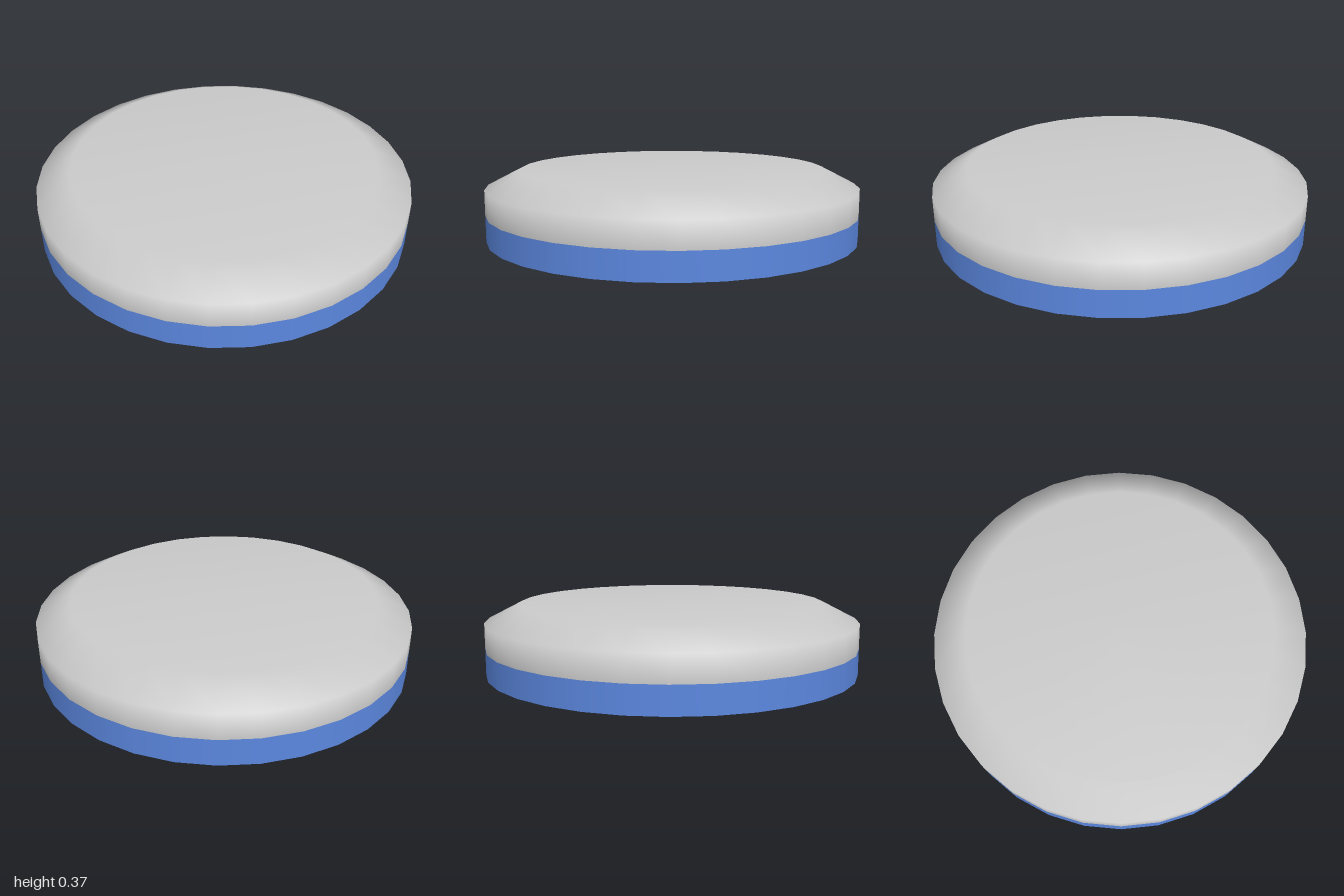
import * as THREE from 'three';

const SIDES = 32;
const FLOOR = 0.1;

export function createModel() {
  const model = new THREE.Group();
  const grey = new THREE.MeshStandardMaterial({ color: 0xcccccc });
  const blue = new THREE.MeshStandardMaterial({ color: 0x5c88e0 });
  const gold = new THREE.MeshStandardMaterial({ color: 0xd6be6c });

  // Revolved part from [radius, height] points, listed from the inside underneath to the top
  const ring = (name, points, material) => {
    const profile = points.map(([r, y]) => new THREE.Vector2(r, y));
    const mesh = new THREE.Mesh(new THREE.LatheGeometry(profile, SIDES), material);
    mesh.name = name;
    model.add(mesh);
  };

  // Hollow underside
  ring('recessFloor', [[0, FLOOR], [0.8, FLOOR]], grey);
  ring('recessSlope', [[0.8, FLOOR], [0.94, 0]], blue);
  ring('bottomRim', [[0.94, 0], [1, 0]], grey);

  // Outer band and bevelled lid
  ring('sideBand', [[1, 0], [1, 0.14]], blue);
  ring('lid', [[1, 0.14], [1, 0.275], [0.815, 0.37], [0, 0.37]], grey);

  // Five clusters of seven small pads under the floor
  const padGeometry = new THREE.CylinderGeometry(0.054, 0.054, 0.03, 16);
  const addCluster = (x, z) => {
    const cluster = new THREE.Group();
    cluster.name = 'padCluster';
    cluster.position.set(x - 0.01, FLOOR - 0.005, z + 0.015);
    for (let i = 0; i < 7; i++) {
      const pad = new THREE.Mesh(padGeometry, gold);
      pad.name = 'pad';
      const angle = (i * Math.PI) / 3;
      const r = i < 6 ? 0.13 : 0;
      pad.position.set(r * Math.cos(angle), 0, r * Math.sin(angle));
      cluster.add(pad);
    }
    model.add(cluster);
  };
  addCluster(0, 0);
  for (let i = 0; i < 4; i++) {
    const angle = (i * Math.PI) / 2;
    addCluster(0.57 * Math.cos(angle), 0.57 * Math.sin(angle));
  }

  return model;
}
